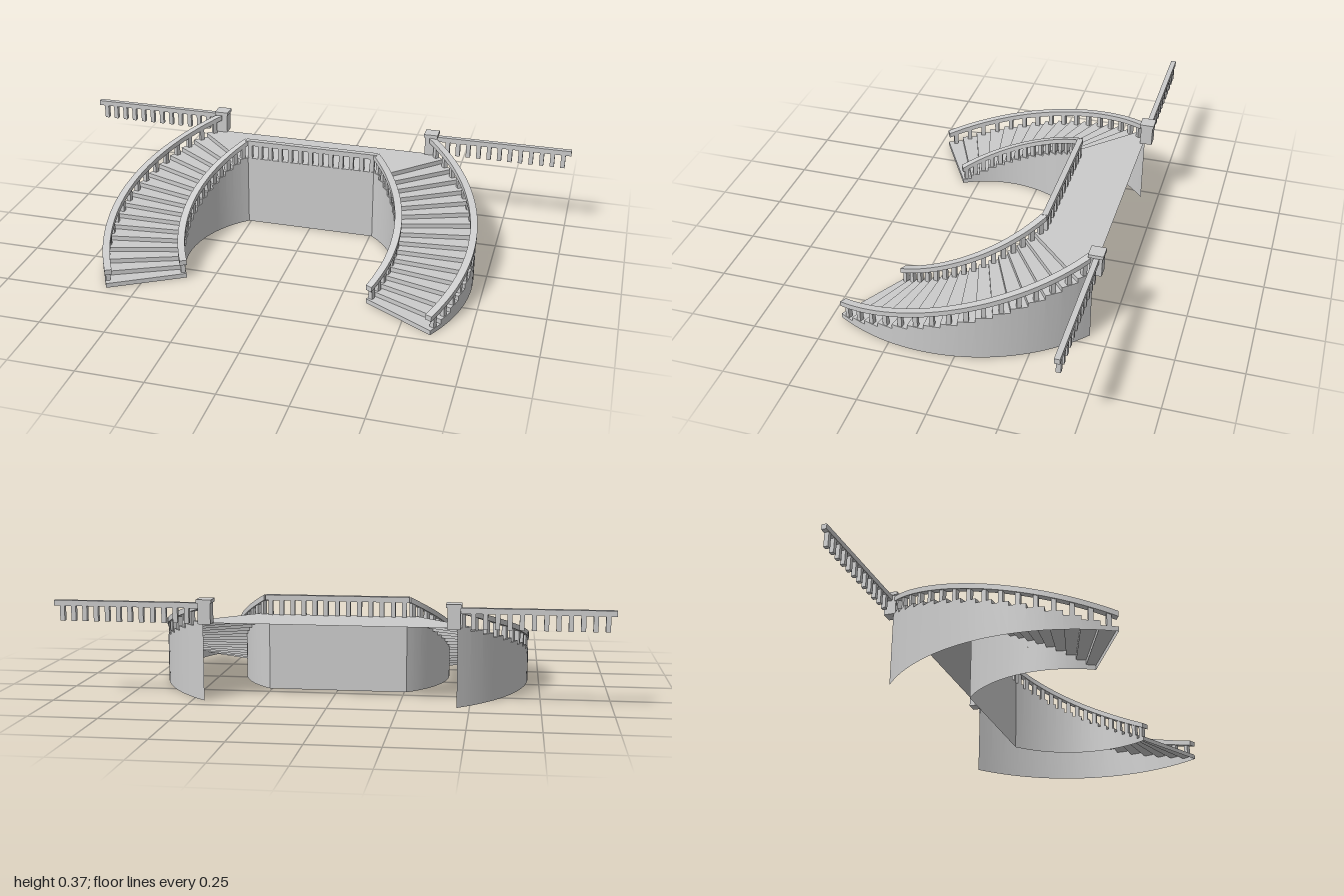
import * as THREE from 'three';
import { toCreasedNormals } from 'three/addons/utils/BufferGeometryUtils.js';

const CZ = 0.11;                               // centre of the stair arcs on z
const STEPS = 16, TOP = 0.285, RISE = TOP / STEPS;
const A0 = Math.PI / 6, SWEEP = -Math.PI * 80 / 180;
const R_IN = 0.402, R_OUT = 0.708;             // stair walls
const RAIL_W = 0.027, RAIL_H = 0.02, RAIL_Y = 0.055, BAL = 0.017;

const solid = new THREE.MeshStandardMaterial({ color: 0xcccccc });
const sheet = new THREE.MeshStandardMaterial({ color: 0xcccccc, side: THREE.DoubleSide });

const angle = (t) => A0 + SWEEP * t;

// Mesh made of quads; side = -1 mirrors it across x and keeps the faces outward
function quadMesh(name, side, material, build) {
  const pos = [];
  const quad = (a, b, c, d) => {
    const order = side > 0 ? [a, b, c, a, c, d] : [a, c, b, a, d, c];
    for (const p of order) pos.push(p[0] * side, p[1], p[2]);
  };
  build(quad);
  const geo = new THREE.BufferGeometry();
  geo.setAttribute('position', new THREE.Float32BufferAttribute(pos, 3));
  const mesh = new THREE.Mesh(toCreasedNormals(geo, 0.5), material);
  mesh.name = name;
  return mesh;
}

// Point on an arc of radius r at progress t (0 = foot, 1 = landing)
const P = (r, t, y) => [r * Math.cos(angle(t)), y, CZ + r * Math.sin(angle(t))];

function box(name, w, h, d, x, y, z, ry = 0) {
  const mesh = new THREE.Mesh(new THREE.BoxGeometry(w, h, d), solid);
  mesh.name = name;
  mesh.position.set(x, y, z);
  mesh.rotation.y = ry;
  return mesh;
}

// Treads and risers as one folded sheet
function steps(side) {
  return quadMesh('steps', side, sheet, (quad) => {
    for (let i = 0; i < STEPS; i++) {
      const y = RISE * (i + 1), t0 = i / STEPS;
      quad(P(R_IN, t0, y - RISE), P(R_OUT, t0, y - RISE), P(R_OUT, t0, y), P(R_IN, t0, y));
      for (let k = 0; k < 2; k++) {
        const a = t0 + k / 2 / STEPS, b = a + 0.5 / STEPS;
        quad(P(R_IN, a, y), P(R_OUT, a, y), P(R_OUT, b, y), P(R_IN, b, y));
      }
    }
  });
}

// Curved wall under the steps, with a stepped top
function curvedWall(name, side, r, outward) {
  return quadMesh(name, side, sheet, (quad) => {
    for (let i = 0; i < STEPS * 2; i++) {
      const y = RISE * (Math.floor(i / 2) + 1);
      let a = i / STEPS / 2, b = (i + 1) / STEPS / 2;
      if (!outward) [a, b] = [b, a];
      quad(P(r, a, 0), P(r, b, 0), P(r, b, y), P(r, a, y));
    }
  });
}

// Rising handrail with a rectangular section
function handrail(side, r0, r1) {
  return quadMesh('handrail', side, solid, (quad) => {
    const ring = (t) => {
      const y = RAIL_Y + TOP * t;
      return [P(r0, t, y), P(r1, t, y), P(r1, t, y + RAIL_H), P(r0, t, y + RAIL_H)];
    };
    const n = STEPS * 2;
    for (let i = 0; i < n; i++) {
      const a = ring(i / n), b = ring((i + 1) / n);
      for (let k = 0; k < 4; k++) {
        const m = (k + 1) % 4;
        quad(a[k], b[k], b[m], a[m]);
      }
    }
    quad(...ring(0));
    quad(...ring(1).reverse());
  });
}

function curvedRailing(name, side, r0) {
  const g = new THREE.Group();
  g.name = name;
  g.add(handrail(side, r0, r0 + RAIL_W));
  const r = r0 + RAIL_W / 2;
  for (let i = 0; i < STEPS; i++) {
    const t = (i + 0.5) / STEPS, low = RISE * (i + 1), high = RAIL_Y + TOP * t + 0.006;
    const [x, y, z] = P(r, t, (low + high) / 2);
    g.add(box('baluster', BAL, high - low, BAL, x * side, y, z, -angle(t) * side));
  }
  return g;
}

// Level railing along x
function levelRailing(name, x0, x1, b0, b1, count, z, depth) {
  const g = new THREE.Group();
  g.name = name;
  const y = TOP + RAIL_Y;
  g.add(box('handrail', Math.abs(x1 - x0), RAIL_H, depth, (x0 + x1) / 2, y + RAIL_H / 2, z));
  for (let i = 0; i < count; i++) {
    const x = b0 + (b1 - b0) * i / (count - 1);
    g.add(box('baluster', BAL, RAIL_Y, BAL, x, TOP + RAIL_Y / 2, z));
  }
  return g;
}

export function createModel() {
  const model = new THREE.Group();
  model.name = 'doubleStaircase';

  for (const side of [1, -1]) {
    const flight = new THREE.Group();
    flight.name = side > 0 ? 'leftFlight' : 'rightFlight';
    flight.add(
      steps(side),
      curvedWall('outerWall', side, R_OUT, true),
      curvedWall('innerWall', side, R_IN, false),
      curvedRailing('outerRailing', side, 0.71 - RAIL_W),
      curvedRailing('innerRailing', side, 0.4),
      levelRailing('sideRailing', 0.46 * side, side, 0.51 * side, 0.97 * side, 12, -0.445, 0.02)
    );

    // Newel post with a cap where the flight meets the landing
    const post = new THREE.Group();
    post.name = 'newelPost';
    post.add(box('postShaft', 0.046, 0.078, 0.046, 0.443 * side, TOP + 0.039, -0.443));
    post.add(box('postCap', 0.055, 0.013, 0.055, 0.443 * side, TOP + 0.0825, -0.443));
    flight.add(post);
    model.add(flight);
  }

  // Landing between the flights and the wall below its front edge
  const mirror = ([x, y, z]) => [-x, y, z];
  const front = P(R_IN, 1, TOP), back = P(R_OUT, 1, TOP), foot = P(R_IN, 1, 0);
  model.add(quadMesh('landing', 1, sheet, (quad) => quad(mirror(front), front, back, mirror(back))));
  model.add(quadMesh('frontWall', 1, sheet, (quad) => quad(mirror(foot), foot, front, mirror(front))));
  model.add(levelRailing('landingRailing', -0.268, 0.268, -0.25, 0.25, 13, -0.208, 0.022));

  return model;
}
